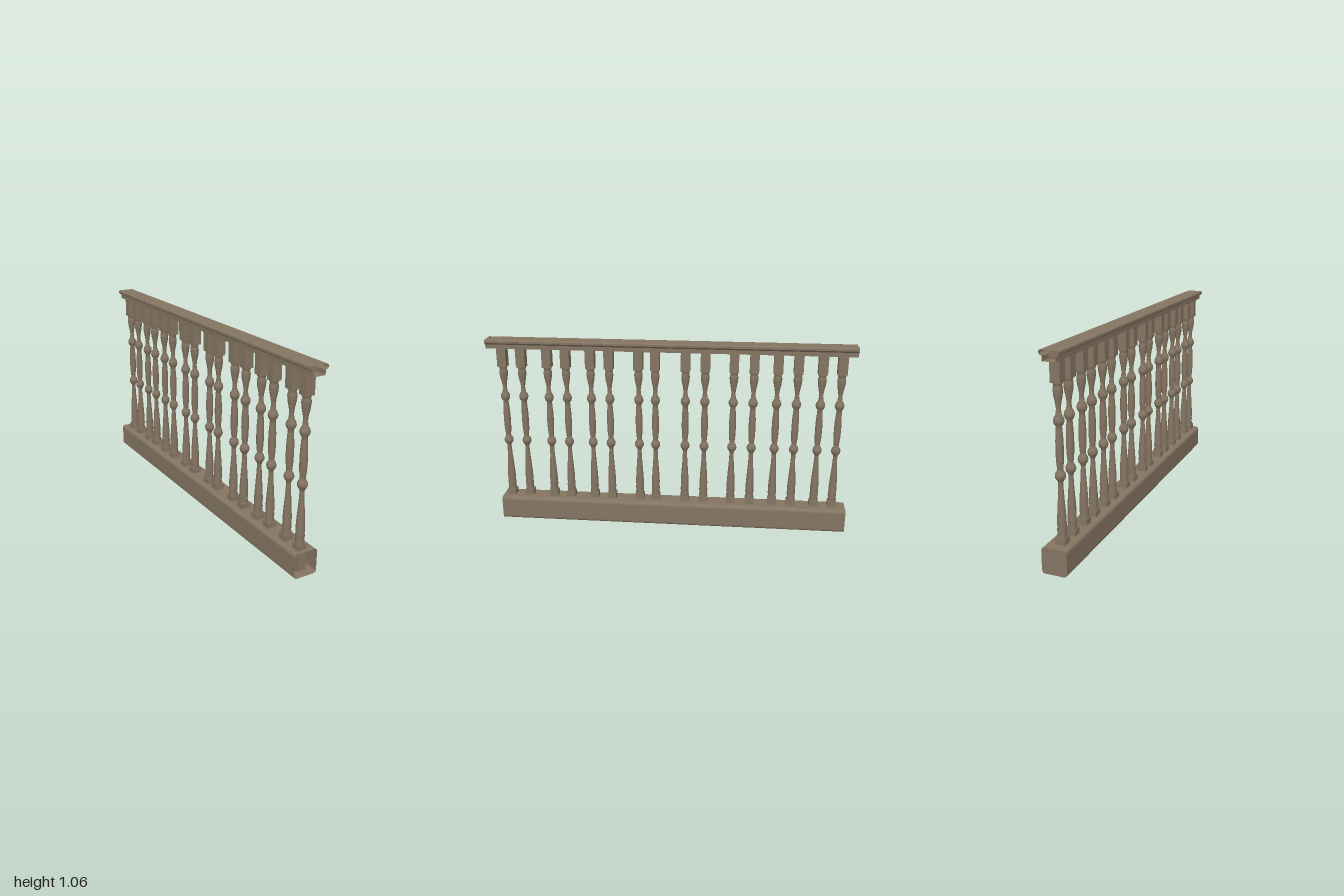
import * as THREE from 'three';

const wood = new THREE.MeshStandardMaterial({ color: 0x857562, side: THREE.DoubleSide });
wood.name = 'brown wood';

// Open-ended tube: a counter-clockwise [x, y] outline swept from zBack to zFront
function sweptShell(outline, zBack, zFront) {
  const pos = [];
  outline.forEach(([ax, ay], i) => {
    const [bx, by] = outline[(i + 1) % outline.length];
    pos.push(ax, ay, zBack, bx, by, zBack, bx, by, zFront);
    pos.push(ax, ay, zBack, bx, by, zFront, ax, ay, zFront);
  });
  const geo = new THREE.BufferGeometry();
  geo.setAttribute('position', new THREE.Float32BufferAttribute(pos, 3));
  geo.computeVertexNormals();
  return geo;
}

// Rounded rectangle outline centred on x = 0
function roundedOutline(halfWidth, bottom, top, r) {
  const pts = [];
  const corners = [[1, top - r], [-1, top - r], [-1, bottom + r], [1, bottom + r]];
  corners.forEach(([side, cy], k) => {
    for (let i = 0; i <= 3; i++) {
      const a = (k + i / 3) * Math.PI / 2;
      pts.push([side * (halfWidth - r) + r * Math.cos(a), cy + r * Math.sin(a)]);
    }
  });
  return pts;
}

function addMesh(parent, name, geo) {
  const mesh = new THREE.Mesh(geo, wood);
  mesh.name = name;
  parent.add(mesh);
  return mesh;
}

export function createModel() {
  const model = new THREE.Group();
  model.name = 'balustrade';
  const axisX = -0.0075;

  // Bottom beam: hollow, closed at the back end only
  const beam = roundedOutline(0.065, 0.003, 0.136, 0.016);
  addMesh(model, 'bottomBeam', sweptShell(beam, -1, 0.965));
  const capShape = new THREE.Shape(beam.map(([x, y]) => new THREE.Vector2(x, y)));
  const cap = new THREE.ShapeGeometry(capShape);
  cap.rotateY(Math.PI);
  addMesh(model, 'beamBackEnd', cap).position.z = -1;

  // Handrail: hollow moulding with an overhanging lip
  const half = [[0.033, 1.01], [0.033, 1.033], [0.042, 1.038], [0.048, 1.044], [0.048, 1.055], [0.043, 1.06]];
  const rail = [...half, ...half.map(([x, y]) => [-x, y]).reverse()];
  addMesh(model, 'handrail', sweptShell(rail, -1, 1)).position.x = axisX;

  // Turned spindle profile: [radius, height]
  const profile = [
    [0.023, 0.16], [0.024, 0.175], [0.021, 0.19], [0.024, 0.205], [0.022, 0.215],
    [0.0225, 0.25], [0.019, 0.31], [0.014, 0.38], [0.0115, 0.435], [0.014, 0.445],
    [0.023, 0.458], [0.026, 0.47], [0.023, 0.483], [0.014, 0.496], [0.0145, 0.505],
    [0.018, 0.54], [0.0195, 0.59], [0.0185, 0.64], [0.015, 0.69], [0.014, 0.704],
    [0.023, 0.718], [0.026, 0.73], [0.023, 0.744], [0.014, 0.758], [0.011, 0.785],
    [0.014, 0.81], [0.021, 0.845], [0.0235, 0.87], [0.022, 0.885], [0.018, 0.89], [0.023, 0.898], [0.023, 0.906],
  ].map(([r, y]) => new THREE.Vector2(r, y));
  const spindleGeo = new THREE.LatheGeometry(profile, 14);
  const baseGeo = new THREE.BoxGeometry(0.05, 0.14, 0.05).translate(0, 0.095, 0);
  const topGeo = new THREE.BoxGeometry(0.05, 0.151, 0.05).translate(0, 0.9805, 0);

  // Balusters, unevenly spaced in pairs
  const places = [0.92, 0.815, 0.67, 0.567, 0.43, 0.327, 0.165, 0.073,
    -0.093, -0.2, -0.355, -0.463, -0.59, -0.697, -0.825, -0.927];
  for (const z of places) {
    const baluster = new THREE.Group();
    baluster.name = 'baluster';
    baluster.position.set(axisX, 0, z);
    addMesh(baluster, 'baseBlock', baseGeo);
    addMesh(baluster, 'turnedSpindle', spindleGeo);
    addMesh(baluster, 'topBlock', topGeo);
    model.add(baluster);
  }
  return model;
}
